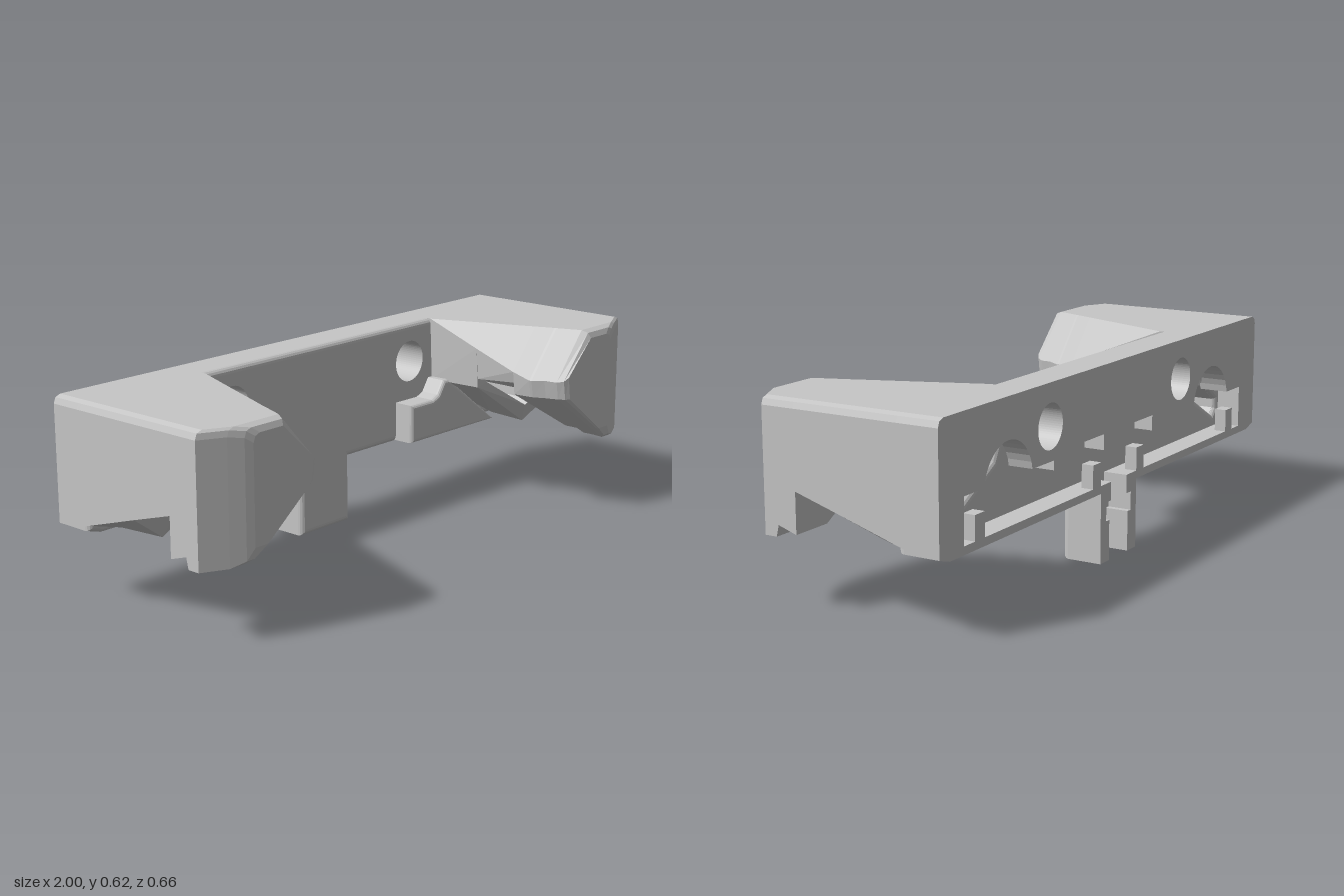
import * as THREE from 'three';

const grey = new THREE.MeshStandardMaterial({ color: 0xc6c6c6 });
grey.name = 'grey plastic';

const mirror = (pts) => pts.map(([x, y, z]) => [-x, y, z]).reverse();
const toPoints = (pts) => pts.map(([x, y]) => new THREE.Vector2(x, y));

function add(group, name, geometry) {
  const mesh = new THREE.Mesh(geometry, grey);
  mesh.name = name;
  group.add(mesh);
  return mesh;
}

// Extrude an outline between two z values, optionally with rounded rims
function slab(shape, z0, z1, bevel = 0) {
  const geometry = new THREE.ExtrudeGeometry(shape, {
    depth: z1 - z0 - 2 * bevel, curveSegments: 32,
    bevelEnabled: bevel > 0, bevelThickness: bevel, bevelSize: bevel,
    bevelOffset: -bevel, bevelSegments: 4,
  });
  return geometry.translate(0, 0, z0 + bevel);
}

function drill(shape, x) {
  const hole = new THREE.Path();
  hole.absarc(x, 0.495, 0.07, 0, Math.PI * 2, true);
  shape.holes.push(hole);
  return shape;
}

// Plate outline with both screw holes
function plateShape(pts) {
  return drill(drill(new THREE.Shape(toPoints(pts)), 0.42), -0.42);
}

// Skin counter-clockwise sections of [x, y, z] points, with end caps
function loft(sections) {
  const pos = [];
  const n = sections[0].length;
  const put = (i, j) => pos.push(...sections[i][j % n]);
  const last = sections.length - 1;
  for (let i = 0; i < last; i++) {
    for (let j = 0; j < n; j++) {
      put(i, j); put(i, j + 1); put(i + 1, j);
      put(i, j + 1); put(i + 1, j + 1); put(i + 1, j);
    }
  }
  for (const i of [0, last]) {
    for (const [a, b, c] of THREE.ShapeUtils.triangulateShape(toPoints(sections[i]), [])) {
      put(i, a); put(i, i ? b : c); put(i, i ? c : b);
    }
  }
  const geometry = new THREE.BufferGeometry();
  geometry.setAttribute('position', new THREE.Float32BufferAttribute(pos, 3));
  geometry.computeVertexNormals();
  return geometry;
}

// Stations: z, outer x, outer bottom y, top y, inner top x, ridge x, inner bottom x, inner bottom y
const rearStations = [
  [-0.235, 1, 0.248, 0.625, 0.53, 0.53, 0.9, 0.225],
  [-0.195, 1, 0.26, 0.625, 0.53, 0.53, 0.88, 0.225],
  [0, 1, 0.32, 0.625, 0.607, 0.54, 0.86, 0.225],
];
const frontStations = [
  [0, 1, 0.32, 0.625, 0.607, 0.54, 0.6, 0.43],
  [0.15, 1, 0.365, 0.625, 0.665, 0.548, 0.6, 0.44],
  [0.15, 1, 0.24, 0.625, 0.665, 0.548, 0.86, 0.24],
  [0.212, 1, 0.26, 0.625, 0.69, 0.555, 0.86, 0.24],
  [0.22, 1, 0.225, 0.625, 0.692, 0.557, 0.87, 0.225],
  [0.26, 1, 0.225, 0.625, 0.707, 0.575, 0.87, 0.225],
  [0.3, 0.92, 0.225, 0.625, 0.722, 0.588, 0.865, 0.225],
  [0.321, 0.875, 0.24, 0.617, 0.73, 0.6, 0.845, 0.24],
  [0.33, 0.85, 0.275, 0.6, 0.735, 0.615, 0.8, 0.275],
];

// Clockwise outline of the tunnel running from the pocket to the slot
const tunnel = [[0.86, 0.31], [0.84, 0.29], [0.6, 0.42], [0.58, 0.46], [0.61, 0.49],
  [0.65, 0.5], [0.7, 0.49], [0.74, 0.465], [0.78, 0.4], [0.86, 0.34]];

// The inner side slopes in from the top to a ridge, then back out below it
function armSection([z, xo, yo, yt, xt, xr, xb, yb]) {
  return [
    [xo, yo, z], [xo, yt - 0.025, z], [xo - 0.007, yt - 0.007, z], [xo - 0.025, yt, z],
    [xt, yt, z], [xr, 0.625 - (xt - xr) / 0.86, z],
    [xr + 0.01, Math.max(0.41, yb + 0.01), z], [xb, yb, z],
  ];
}

// Rear section with the tunnel joined in; its front end leans back below the slot
function rearSection(station) {
  const outer = armSection(station);
  const z = station[0];
  const inner = [...tunnel, tunnel[0]].map(([x, y]) => [x, y, z]);
  return [...outer, outer[0], ...inner].map(([x, y]) =>
    [x, y, z === 0 ? Math.min(0, (y - 0.32) * 0.42) : z]);
}

export function createModel() {
  const model = new THREE.Group();
  model.name = 'bracket';

  // Half outline of the plate with its centre tab
  const half = [[0.06, 0], [0.115, 0], [0.115, 0.225], [0.95, 0.225], [1, 0.24],
    [1, 0.6], [0.993, 0.618], [0.975, 0.625]];

  // Half outline of the rear pocket, from the tab trench up to the middle
  const pocket = [[0.06, 0.13], [0.08, 0.13], [0.08, 0.19], [0.05, 0.19],
    [0.05, 0.25], [0.88, 0.25], [0.88, 0.39]];
  for (let i = 0; i <= 16; i++) {
    const a = 0.155 + (Math.PI - 0.31) * (i / 16);
    pocket.push([0.65 + 0.13 * Math.cos(a), 0.37 + 0.13 * Math.sin(a)]);
  }
  pocket.push([0.4, 0.39], [0.4, 0.36], [0.22, 0.36], [0.22, 0.41],
    [0.1, 0.41], [0.1, 0.36]);

  const rim = [...half, ...mirror(half),
    ...pocket.map(([x, y]) => [-x, y]), ...[...pocket].reverse()];
  add(model, 'rear pocket rim', slab(plateShape(rim), -0.33, -0.23));

  const face = half.slice(1);
  const front = plateShape([...face, ...mirror(face)]);
  for (const pts of [tunnel, mirror(tunnel)]) front.holes.push(new THREE.Path(toPoints(pts)));
  add(model, 'front plate and tab', slab(front, -0.25, -0.195, 0.02));

  // Pad beside each screw hole, cut off along the slope of the arm
  const pad = [[0.35, 0.23], [0.8, 0.23], [0.55, 0.42], [0.52, 0.42],
    [0.49, 0.375], [0.46, 0.362], [0.35, 0.362]];

  for (const side of [1, -1]) {
    const label = side > 0 ? 'left' : 'right';
    const flip = (pts) => (side > 0 ? pts : mirror(pts));
    add(model, `${label} arm rear`, loft(rearStations.map((s) => flip(rearSection(s)))));
    add(model, `${label} arm front`, loft(frontStations.map((s) => flip(armSection(s)))));
    add(model, `${label} pad`,
      slab(new THREE.Shape(toPoints(flip(pad))), -0.24, -0.12, 0.015));

    // Straight sleeve lining the screw hole
    const sleeve = new THREE.Shape().absarc(side * 0.42, 0.495, 0.095, 0, Math.PI * 2);
    add(model, `${label} screw sleeve`, slab(drill(sleeve, side * 0.42), -0.25, -0.195));

    // Small retaining nubs standing in the pocket
    for (const x of [0.14, 0.8]) {
      add(model, `${label} pocket nub`, new THREE.BoxGeometry(0.05, 0.08, 0.04))
        .position.set(side * x, 0.285, -0.31);
    }
  }
  return model;
}
